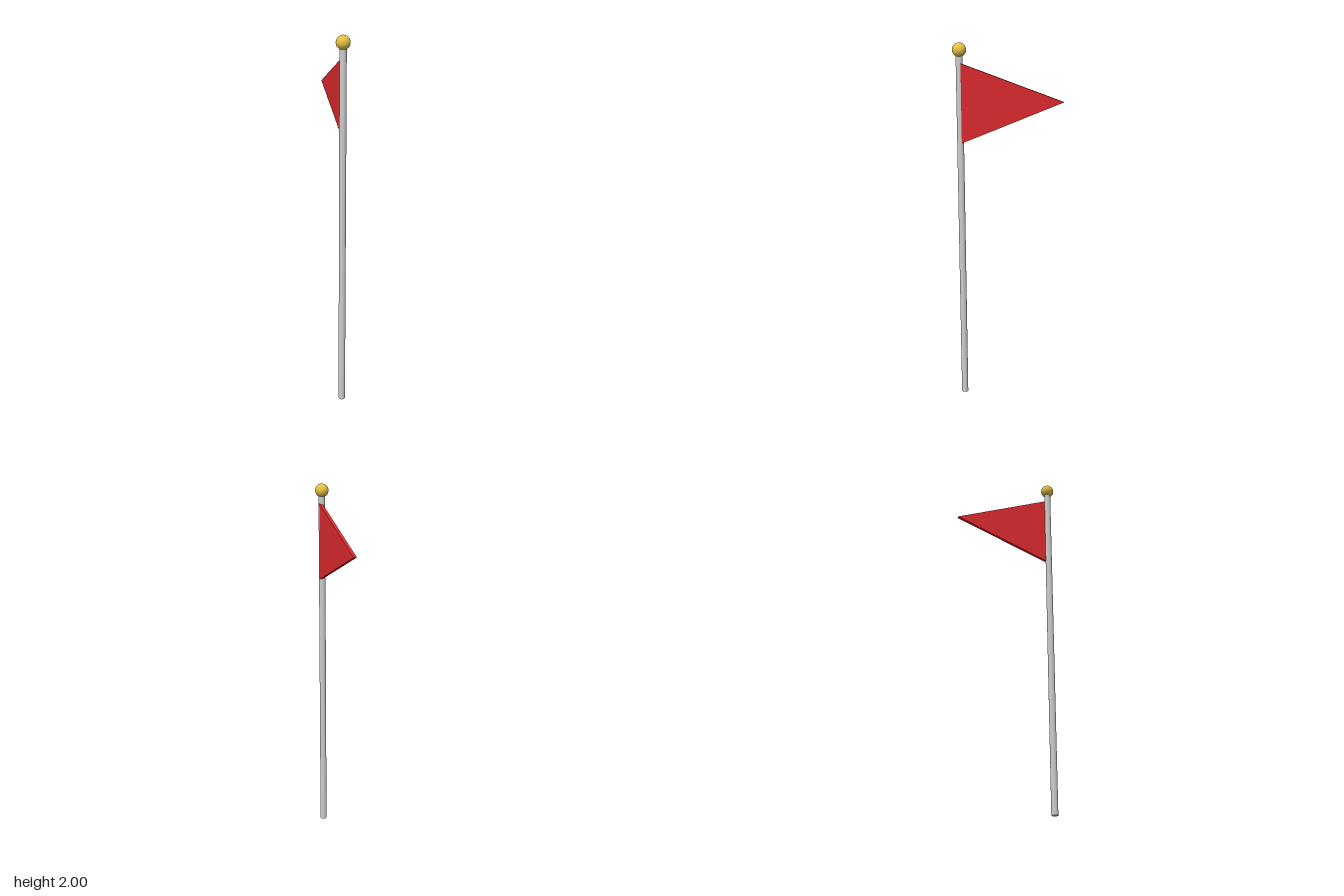
import * as THREE from 'three';

const POLE_Z = 0.2545;

export function createModel() {
  const model = new THREE.Group();
  const add = (name, geometry, color, y, z) => {
    const mesh = new THREE.Mesh(geometry, new THREE.MeshStandardMaterial({ color }));
    mesh.name = name;
    mesh.position.set(0, y, z);
    model.add(mesh);
    return mesh;
  };

  // Straight round pole
  add('pole', new THREE.CylinderGeometry(0.018, 0.018, 1.964, 32), 0xcccccc, 0.982, POLE_Z);

  // Gold ball on top
  add('finial', new THREE.SphereGeometry(0.0364, 32, 24), 0xe3c044, 1.9636, POLE_Z);

  // Triangular pennant, drawn in x-y and turned so its tip points to -z
  const triangle = new THREE.Shape([
    new THREE.Vector2(0, 1.475),
    new THREE.Vector2(0.5455, 1.687),
    new THREE.Vector2(0, 1.897),
  ]);
  const pennant = new THREE.ExtrudeGeometry(triangle, { depth: 0.017, bevelEnabled: false });
  pennant.rotateY(Math.PI / 2);
  add('pennant', pennant, 0xdd2a2e, 0, POLE_Z);

  return model;
}
